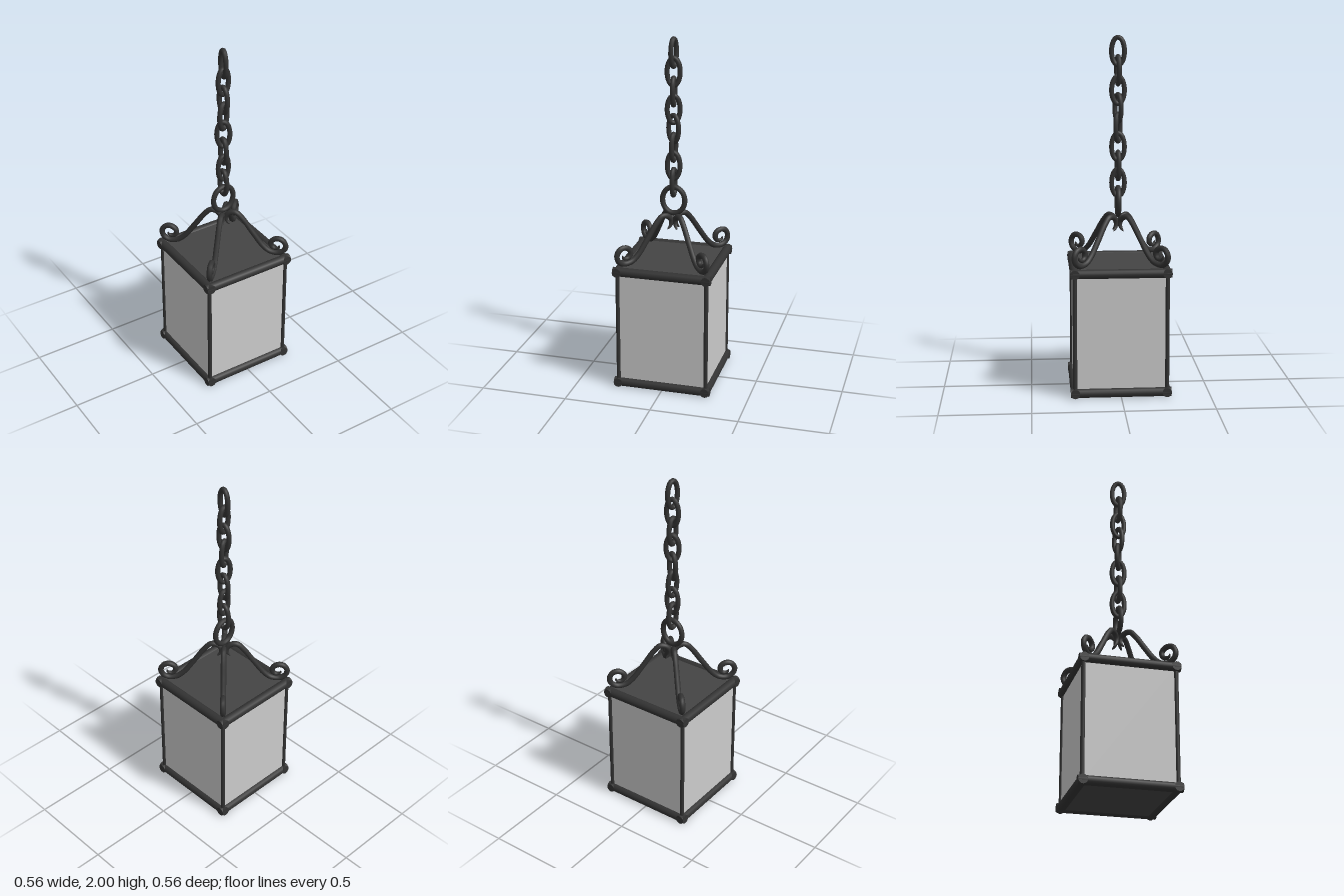
import * as THREE from 'three';

const iron = new THREE.MeshStandardMaterial({ color: 0x333333 });
const plate = new THREE.MeshStandardMaterial({ color: 0x444444 });
const glass = new THREE.MeshStandardMaterial({ color: 0xcccccc });

function add(parent, name, geometry, material) {
  const mesh = new THREE.Mesh(geometry, material);
  mesh.name = name;
  parent.add(mesh);
  return mesh;
}

// Closed oval of round bar, standing in the xy plane (outer half sizes)
function ovalBar(halfW, halfH, bar) {
  const points = [];
  for (let i = 0; i < 16; i++) {
    const a = (i / 16) * Math.PI * 2;
    points.push(new THREE.Vector3(Math.cos(a) * (halfW - bar), Math.sin(a) * (halfH - bar), 0));
  }
  const curve = new THREE.CatmullRomCurve3(points, true);
  return new THREE.TubeGeometry(curve, 40, bar, 10, true);
}

// Open round bar whose ends narrow to points
function taperedBar(points, bar, segments, sides, taper) {
  const curve = new THREE.CatmullRomCurve3(points);
  const geometry = new THREE.TubeGeometry(curve, segments, bar, sides, false);
  const pos = geometry.attributes.position;
  const v = new THREE.Vector3();
  for (let i = 0; i <= segments; i++) {
    const u = i / segments;
    const centre = curve.getPointAt(u);
    const s = Math.min(1, Math.sqrt(Math.min(u, 1 - u) / taper));
    for (let j = 0; j <= sides; j++) {
      const k = i * (sides + 1) + j;
      v.fromBufferAttribute(pos, k).sub(centre).multiplyScalar(s).add(centre);
      pos.setXYZ(k, v.x, v.y, v.z);
    }
  }
  return geometry;
}

export function createModel() {
  const lantern = new THREE.Group();
  lantern.name = 'hangingLantern';

  // Lantern body: lid, floor, glass sides, corner posts and rails
  const body = new THREE.Group();
  body.name = 'body';
  lantern.add(body);
  add(body, 'lid', new THREE.BoxGeometry(0.52, 0.02, 0.52), plate).position.y = 0.712;
  add(body, 'floor', new THREE.BoxGeometry(0.52, 0.02, 0.52), plate).position.y = 0.022;

  const rail = new THREE.CylinderGeometry(0.026, 0.026, 0.562, 16);
  rail.rotateZ(Math.PI / 2);
  const pane = new THREE.BoxGeometry(0.51, 0.68, 0.008);
  const post = new THREE.CylinderGeometry(0.012, 0.012, 0.68, 10);
  for (let i = 0; i < 4; i++) {
    const side = new THREE.Group();
    side.name = 'side';
    side.rotation.y = (i * Math.PI) / 2;
    body.add(side);
    add(side, 'glassPane', pane, glass).position.set(0, 0.365, 0.254);
    add(side, 'cornerPost', post, iron).position.set(0.257, 0.365, 0.257);
    add(side, 'bottomRail', rail, iron).position.set(0, 0.027, 0.256);
    add(side, 'topRail', rail, iron).position.set(0, 0.705, 0.256);
  }

  // Scrolled arms on the diagonals: hooked at the ring, coiled at the corner
  const profile = [
    [0.028, 0.9], [0.013, 0.925], [0.012, 0.955], [0.028, 0.98], [0.052, 0.984],
    [0.078, 0.95], [0.12, 0.865], [0.163, 0.782], [0.192, 0.75], [0.228, 0.744],
    [0.252, 0.767], [0.257, 0.8], [0.243, 0.832], [0.219, 0.838], [0.199, 0.818],
    [0.198, 0.79], [0.211, 0.773], [0.229, 0.778], [0.232, 0.796],
  ];
  const armPath = profile.map(([x, y]) => new THREE.Vector3(x * Math.SQRT2, y, 0));
  const armGeometry = taperedBar(armPath, 0.016, 100, 8, 0.1);
  for (let i = 0; i < 4; i++) {
    add(lantern, 'scrollArm', armGeometry, iron).rotation.y = Math.PI / 4 + (i * Math.PI) / 2;
  }

  // Large ring carrying the arms
  add(lantern, 'hangingRing', ovalBar(0.08, 0.092, 0.015), iron).position.y = 1.07;

  // Chain links: height and turn in degrees
  const links = [
    [1.91, 80], [1.805, 8], [1.695, 95], [1.595, 25],
    [1.485, -25], [1.378, 85], [1.272, 5], [1.175, 90],
  ];
  const chain = new THREE.Group();
  chain.name = 'chain';
  lantern.add(chain);
  const linkGeometry = ovalBar(0.05, 0.09, 0.014);
  for (const [y, turn] of links) {
    const link = add(chain, 'chainLink', linkGeometry, iron);
    link.position.y = y;
    link.rotation.y = THREE.MathUtils.degToRad(turn);
  }

  return lantern;
}
